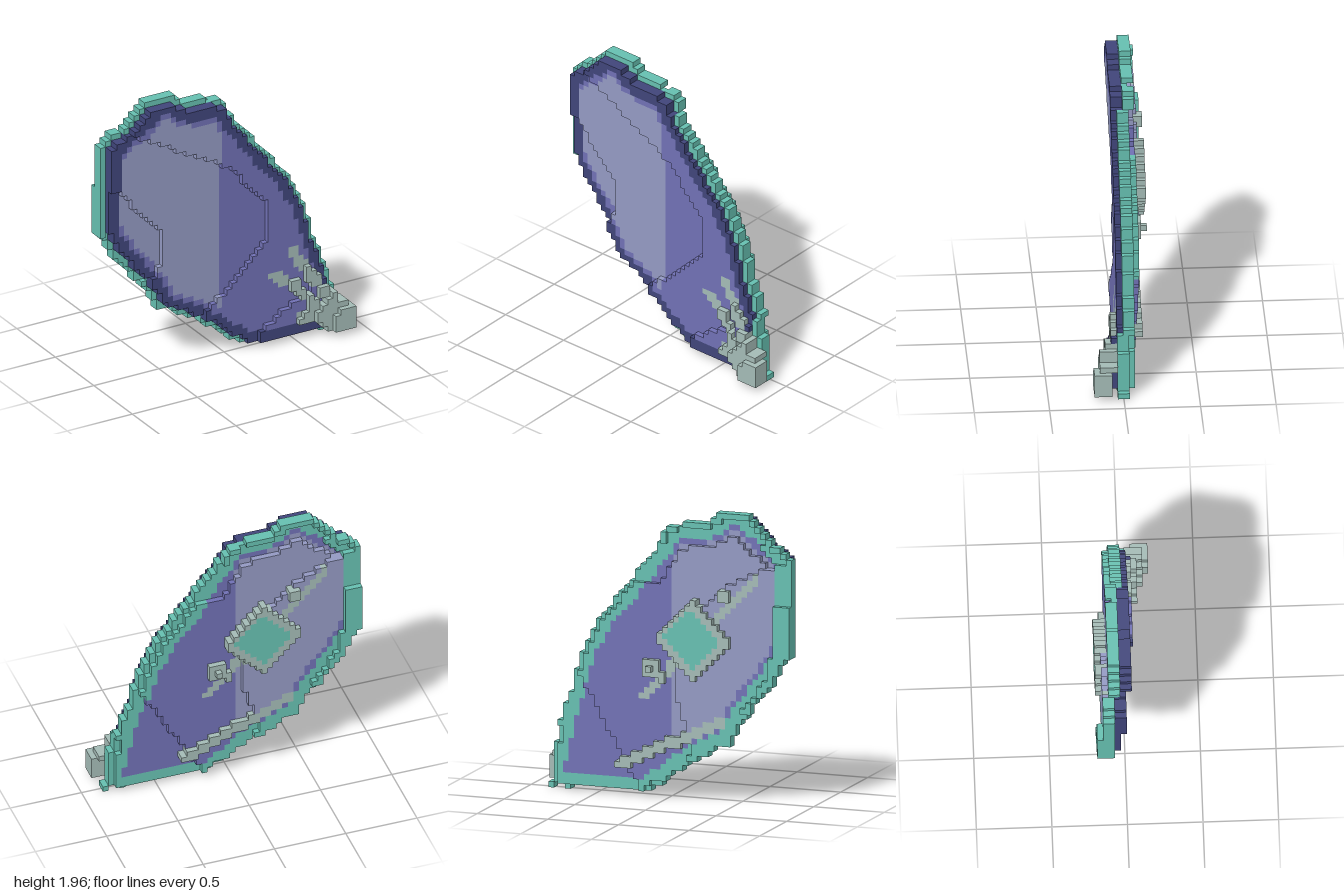
import * as THREE from 'three';

// Block grid: 46 x 51 x 10 cubes
const NX = 46, NY = 51, NZ = 10, S = 2 / 51;

const mat = (name, color) => {
  const m = new THREE.MeshStandardMaterial({ color });
  m.name = name;
  return m;
};

// Outlines in x, y pairs
const OUTER = [[-0.9, 1.68], [-0.82, 1.74], [-0.72, 1.82], [-0.6, 1.93], [-0.55, 1.97], [-0.4, 1.96],
  [-0.28, 1.88], [0, 1.85], [0.08, 1.69], [0.24, 1.48], [0.36, 1.33], [0.47, 1.2], [0.59, 1.0], [0.63, 0.88],
  [0.68, 0.7], [0.73, 0.58], [0.78, 0.4], [0.82, 0.26], [0.84, 0], [0.16, 0.02], [0.08, 0.08], [0, 0.12],
  [-0.08, 0.2], [-0.2, 0.28], [-0.36, 0.37], [-0.47, 0.42], [-0.54, 0.56], [-0.62, 0.66], [-0.7, 0.77],
  [-0.78, 0.86], [-0.86, 1.0], [-0.9, 1.06]];
const FRONT_DISH = [[-0.68, 1.76], [0, 1.38], [0.31, 1.05], [0.31, 0.75], [-0.15, 0.33], [-0.2, 0], [-1, 0], [-1, 1.76]];
const FRONT_DEEP = [[-0.82, 1.38], [-0.47, 1.0], [-0.47, 0.75], [-0.6, 0.6], [-1, 0.6], [-1, 1.38]];
const BACK_BULGE = [[-0.75, 1.62], [-0.4, 1.45], [-0.08, 1.1], [-0.08, 0.7], [-0.2, 0.37], [-0.3, 0], [-1, 0], [-1, 1.7]];
const CLAWS = [
  [[0.84, 0.1], [0.74, 0.28], [0.62, 0.45], [0.49, 0.65]],
  [[0.84, 0.1], [0.62, 0.25], [0.5, 0.4], [0.34, 0.49]],
  [[0.84, 0.09], [0.7, 0.13], [0.53, 0.17]],
];

function inside(x, y, poly) {
  let hit = false;
  poly.forEach(([ax, ay], i) => {
    const [bx, by] = poly[(i + 1) % poly.length];
    if (ay > y !== by > y && x < ax + ((y - ay) / (by - ay)) * (bx - ax)) hit = !hit;
  });
  return hit;
}

function segment(x, y, [ax, ay], [bx, by]) {
  const dx = bx - ax, dy = by - ay;
  const t = THREE.MathUtils.clamp(((x - ax) * dx + (y - ay) * dy) / (dx * dx + dy * dy), 0, 1);
  return Math.hypot(x - ax - t * dx, y - ay - t * dy);
}

function lineDistance(x, y, pts, closed) {
  let d = Infinity;
  const n = closed ? pts.length : pts.length - 1;
  for (let i = 0; i < n; i++) d = Math.min(d, segment(x, y, pts[i], pts[(i + 1) % pts.length]));
  return d;
}

// Fills one column of blocks, from the back layer to the front layer
function column(x, y) {
  const col = new Array(NZ).fill(null);
  const fill = (from, to, part) => { for (let k = Math.max(0, from); k < to; k++) col[k] = part; };
  const inPlate = inside(x, y, OUTER) && y > S;
  const d = lineDistance(x, y, OUTER, true);

  // Stepped front and back of the dished plate
  let front = 6, back = 2;
  if (inside(x, y, FRONT_DEEP)) front = 4;
  else if (inside(x, y, FRONT_DISH)) front = 5;
  else if (x > 0.24 && y < 0.12 + (x - 0.24) * 0.56) front = 7;
  if (inside(x, y, BACK_BULGE)) back = 1;
  else if (x > 0.24 + (y - 0.15) * 0.58 && x > 0.2) back = 3;
  else if (y > 1.45 && d < 0.16) back = 3;

  if (inPlate) {
    if (d < 0.036) {
      const shift = x > 0.05 ? 1 : 0;
      fill(front - 4 + shift, front - 2 + shift, 'edgeTrim');
      if (front < 6 && x < -0.85) fill(1, 3, 'edgeTrim');
    } else if (d < 0.1) {
      fill(x < -0.74 && y < 1.38 ? 0 : Math.min(back, front - 3), front - 2, 'edgeTrim');
      fill(front - 2, front, 'frontRim');
    } else {
      fill(back, front, x < -0.04 && d > 0.135 ? 'lightPanel' : 'darkPanel');
    }
  } else if (y < S && (Math.abs(x - 0.72) < S / 2 || Math.abs(x - 0.84) < S / 2)) {
    fill(4, 6, 'edgeTrim');
  }

  // Claws climbing out of the lower corner
  const reach = Math.hypot(x - 0.86, y - 0.08);
  const claw = Math.min(...CLAWS.map((c) => lineDistance(x, y, c, false)));
  if (y > S && claw < (reach < 0.14 ? 0.075 : 0.036)) {
    const top = reach < 0.13 ? 10 : reach < 0.25 ? 9 : reach < 0.34 ? 8 : reach < 0.5 ? 7 : front;
    fill(Math.max(front - 1, top - 3), top, 'claws');
  }

  // Straps on the back
  if (inPlate && d > 0.1) {
    if (segment(x, y, [-0.65, 1.54], [0.15, 0.7]) < 0.03) fill(back, back + 1, 'backStrap');
    if (segment(x, y, [0.32, 0.22], [-0.39, 0.54]) < 0.036) fill(1, 3, 'backStrap');
  }

  // Diamond grip plate with padded centre
  const diamond = Math.abs(x + 0.21) + Math.abs(y - 1.11);
  if (diamond < 0.275) fill(0, 2, diamond < 0.2 ? 'gripPad' : 'gripFrame');

  // Small buckles beside the grip
  const near = (cx, cy, r) => Math.max(Math.abs(x - cx), Math.abs(y - cy)) < r;
  if (near(0.1, 0.88, S * 1.5)) fill(1, 2, 'buckles');
  if (near(0.1, 0.88, S * 0.5)) fill(0, 1, 'buckles');
  if (near(0.02, 0.82, S * 0.8)) fill(1, 2, 'buckles');
  if (near(-0.42, 1.43, S)) fill(0, 2, 'buckles');
  return col;
}

// The six faces of a block: outward direction and two in-plane axes (u x v = n)
const FACES = [0, 1, 2].flatMap((a) => [1, -1].map((s) => {
  const n = [0, 0, 0], u = [0, 0, 0], v = [0, 0, 0];
  n[a] = s;
  u[(a + 1) % 3] = s;
  v[(a + 2) % 3] = 1;
  return { n, u, v };
}));
const CORNERS = [[-1, -1], [1, -1], [1, 1], [-1, -1], [1, 1], [-1, 1]];

export function createModel() {
  const teal = mat('teal', 0x66bfb0), navy = mat('navy', 0x40457a), purple = mat('purple', 0x7070b4);
  const lavender = mat('lavender', 0x9399c2), grey = mat('greyGreen', 0xa3bab5);
  const parts = {
    edgeTrim: teal, frontRim: navy, darkPanel: purple, lightPanel: lavender,
    claws: grey, backStrap: grey, gripFrame: grey, gripPad: teal, buckles: grey,
  };

  const grid = [];
  for (let i = 0; i < NX; i++) {
    grid.push([]);
    for (let j = 0; j < NY; j++) grid[i].push(column((i + 0.5 - NX / 2) * S, (j + 0.5) * S));
  }

  // Keep only the block faces that are exposed
  const data = {};
  for (const p in parts) data[p] = { pos: [], nor: [] };
  for (let i = 0; i < NX; i++) for (let j = 0; j < NY; j++) for (let k = 0; k < NZ; k++) {
    const part = grid[i][j][k];
    if (!part) continue;
    const c = [(i + 0.5 - NX / 2) * S, (j + 0.5) * S, (k + 0.5 - NZ / 2) * S];
    for (const { n, u, v } of FACES) {
      if (grid[i + n[0]]?.[j + n[1]]?.[k + n[2]]) continue;
      for (const [a, b] of CORNERS) {
        for (let q = 0; q < 3; q++) data[part].pos.push(c[q] + (n[q] + a * u[q] + b * v[q]) * S / 2);
        data[part].nor.push(...n);
      }
    }
  }

  const shield = new THREE.Group();
  shield.name = 'shield';
  for (const p in parts) {
    const g = new THREE.BufferGeometry();
    g.setAttribute('position', new THREE.Float32BufferAttribute(data[p].pos, 3));
    g.setAttribute('normal', new THREE.Float32BufferAttribute(data[p].nor, 3));
    const mesh = new THREE.Mesh(g, parts[p]);
    mesh.name = p;
    shield.add(mesh);
  }
  return shield;
}
